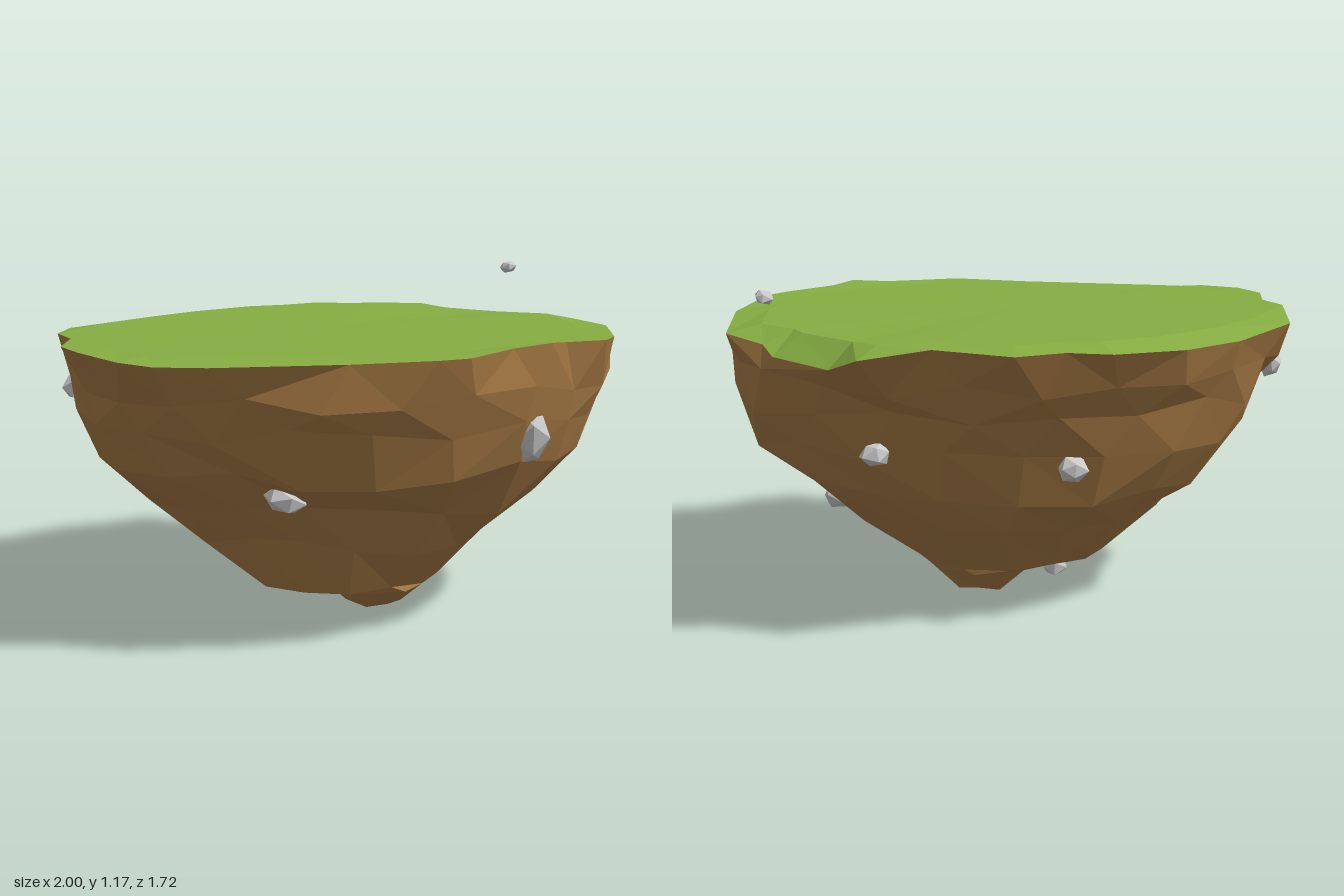
import * as THREE from 'three';

const TURN = Math.PI * 2;
const DEPTH = 0.86;
const START = Math.atan2(-0.21 / DEPTH, 1);

// Rim of the island: x, y, z of each corner, then its turn around the island
const RIM = [
  [1, 0.98, -0.21], [0.97, 1.0, 0.15], [0.9, 1.01, 0.33], [0.84, 1.01, 0.5], [0.78, 1.01, 0.57],
  [0.6, 1.02, 0.65], [0.52, 1.03, 0.72], [0.38, 1.02, 0.74], [0.2, 1.01, 0.84], [0.09, 1.01, 0.86],
  [-0.18, 1.0, 0.8], [-0.6, 0.99, 0.69], [-0.76, 0.99, 0.63], [-0.86, 1.0, 0.57], [-0.96, 1.01, 0.4],
  [-1, 1.01, 0.25], [-0.95, 1.01, 0.07], [-0.98, 1.01, -0.07], [-0.91, 0.99, -0.36], [-0.67, 0.97, -0.57],
  [-0.45, 0.97, -0.71], [-0.19, 0.98, -0.81], [-0.04, 0.99, -0.81], [0.13, 0.99, -0.86], [0.37, 1.0, -0.75],
  [0.6, 0.97, -0.74], [0.68, 0.92, -0.61], [0.85, 0.93, -0.4], [0.88, 0.96, -0.33],
].map(([x, y, z]) => [x, y, z, (Math.atan2(z / DEPTH, x) - START + TURN) % TURN]);

// Cross-sections below the rim: y, min x, max x, min z, max z, corners, hollow, swell
const SECTIONS = [
  [0.86, -0.95, 0.955, -0.74, 0.81, 24, 0.02, 0.05],
  [0.75, -0.915, 0.91, -0.67, 0.775, 21, 0.04, 0.1],
  [0.6, -0.85, 0.84, -0.62, 0.74, 20, 0.11, 0.11],
  [0.45, -0.7, 0.73, -0.55, 0.61, 18, 0.12, 0.08],
  [0.31, -0.52, 0.54, -0.46, 0.49, 16, 0.07, 0.05],
  [0.13, -0.35, 0.35, -0.29, 0.37, 14, 0, 0],
  [0.1, -0.08, 0.31, -0.25, 0.32, 12, 0, 0],
  [0.02, 0.01, 0.23, -0.17, 0.2, 9, 0, 0],
];

// Embedded stones: position, then size along x, y, z
const STONES = [
  [0.48, 0.71, 0.64, 0.062, 0.095, 0.062],
  [-0.32, 0.52, 0.53, 0.075, 0.045, 0.06],
  [0.93, 0.81, 0.08, 0.045, 0.06, 0.055],
  [0.63, 0.365, -0.06, 0.05, 0.046, 0.048],
  [0.53, 0.62, -0.51, 0.05, 0.04, 0.04],
  [-0.1, 0.57, -0.61, 0.05, 0.045, 0.045],
  [-0.92, 0.81, -0.14, 0.04, 0.045, 0.045],
  [-0.12, 0.12, -0.21, 0.045, 0.04, 0.04],
];

function seeded(seed) {
  return () => {
    seed = (seed * 16807) % 2147483647;
    return seed / 2147483647 - 0.5;
  };
}

function facetedMesh(name, corners, color) {
  const geometry = new THREE.BufferGeometry();
  const positions = corners.flatMap(([x, y, z]) => [x, y, z]);
  geometry.setAttribute('position', new THREE.Float32BufferAttribute(positions, 3));
  geometry.computeVertexNormals();
  const mesh = new THREE.Mesh(geometry, new THREE.MeshStandardMaterial({ color, flatShading: true }));
  mesh.name = name;
  return mesh;
}

// Band of outward triangles between two rings that may differ in corner count
function band(upper, lower) {
  const at = (ring, i) => ring[i % ring.length];
  const turn = (ring, i) => (i < ring.length ? ring[i][3] : ring[0][3] + TURN);
  const out = [];
  let i = 0, j = 0;
  while (i < upper.length || j < lower.length) {
    const a = at(upper, i), b = at(lower, j);
    const stepUpper = j === lower.length
      || (i < upper.length && turn(upper, i + 1) <= turn(lower, j + 1));
    if (stepUpper) out.push(a, at(upper, ++i), b);
    else out.push(a, at(lower, ++j), b);
  }
  return out;
}

// Fan closing a ring; up chooses the side it faces
function fan(ring, centre, up) {
  return ring.flatMap((a, i) => {
    const b = ring[(i + 1) % ring.length];
    return up ? [centre, b, a] : [centre, a, b];
  });
}

// Rough ellipse, hollowed at the front right and swollen at the left
function sectionRing([y, x0, x1, z0, z1, count, hollow, swell], level, rnd) {
  return Array.from({ length: count }, (_, i) => {
    const t = ((i + (level % 2) * 0.4) / count) * TURN;
    const angle = t + START;
    const s = 1.01 + rnd() * 0.045
      - hollow * Math.max(0, Math.cos(angle - 2.25)) ** 6
      + swell * Math.max(0, Math.cos(angle + 0.38)) ** 14;
    return [
      (x0 + x1) / 2 + Math.cos(angle) * s * (x1 - x0) / 2,
      Math.max(0, y + rnd() * (y > 0.2 ? 0.07 : 0.02)),
      (z0 + z1) / 2 + Math.sin(angle) * s * (z1 - z0) / 2,
      t,
    ];
  });
}

function makeStone(name, [x, y, z, sx, sy, sz], rnd) {
  const geometry = new THREE.IcosahedronGeometry(1, 0);
  const p = geometry.attributes.position;
  const moved = new Map();
  // shift coinciding corners together so the stone stays closed
  for (let i = 0; i < p.count; i++) {
    const key = [p.getX(i), p.getY(i), p.getZ(i)].map((n) => Math.round(n * 100)).join();
    if (!moved.has(key)) moved.set(key, 1.08 + rnd() * 0.3);
    const k = moved.get(key);
    p.setXYZ(i, p.getX(i) * k, p.getY(i) * k, p.getZ(i) * k);
  }
  geometry.computeVertexNormals();
  const stone = new THREE.Mesh(geometry, new THREE.MeshStandardMaterial({ color: 0xcccccc, flatShading: true }));
  stone.name = name;
  stone.position.set(x, y, z);
  stone.scale.set(sx, sy, sz);
  stone.rotation.set(rnd() * 0.5, rnd() * 0.5, rnd() * 0.5);
  return stone;
}

export function createModel() {
  const model = new THREE.Group();
  model.name = 'floatingIsland';
  const rnd = seeded(4711);

  // earth body
  const rings = [RIM, ...SECTIONS.map((s, level) => sectionRing(s, level, rnd))];
  const earth = fan(rings[rings.length - 1], [0.13, 0, 0], false);
  for (let i = 0; i < rings.length - 1; i++) earth.push(...band(rings[i], rings[i + 1]));
  model.add(facetedMesh('earth', earth, 0xa87b45));

  // grass: flat middle that bends to meet the rim
  const inner = RIM.map(([x, y, z, t]) => [x * 0.88, THREE.MathUtils.lerp(1.01, y, 0.15), z * 0.88, t]);
  const grass = [...fan(inner, [0, 1.01, 0], true), ...band(inner, RIM)];
  model.add(facetedMesh('grass', grass, 0x86ad42));

  // stones in the earth and one hovering beside the rim
  STONES.forEach((s, i) => model.add(makeStone(`stone${i + 1}`, s, rnd)));
  model.add(makeStone('hoveringStone', [0.87, 1.15, -0.57, 0.03, 0.021, 0.028], rnd));
  return model;
}
